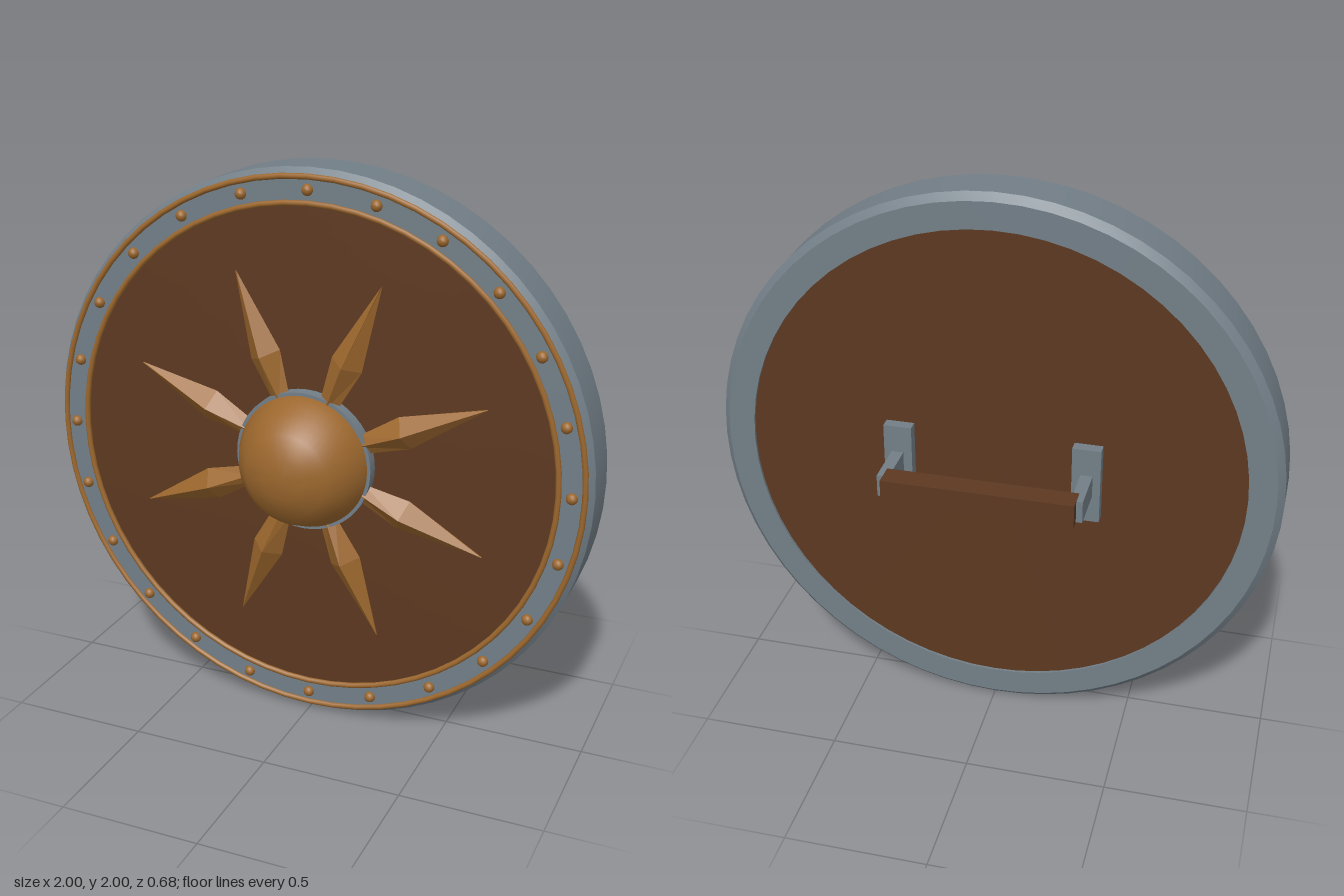
import * as THREE from 'three';
import { toCreasedNormals } from 'three/addons/utils/BufferGeometryUtils.js';

// Revolve a [radius, z] profile around the z axis, keeping hard edges.
function turned(profile, segments = 64, crease = 0.5) {
  const points = profile.map(([r, z]) => new THREE.Vector2(r, z));
  const g = new THREE.LatheGeometry(points, segments);
  g.rotateX(Math.PI / 2);
  return toCreasedNormals(g, crease);
}

// Ridged blade pointing along +y: sections of [y, half width, underside z, ridge z].
function rayGeometry(sections) {
  const rings = sections.map(([y, w, low, top]) => [[-w, y, low], [0, y, top], [w, y, low]]);
  const pos = [];
  for (let s = 0; s < rings.length - 1; s++) {
    for (let k = 0; k < 3; k++) {
      const n = (k + 1) % 3;
      const a0 = rings[s][k], b0 = rings[s][n], a1 = rings[s + 1][k], b1 = rings[s + 1][n];
      pos.push(...a0, ...b0, ...b1, ...a0, ...b1, ...a1);
    }
  }
  const g = new THREE.BufferGeometry();
  g.setAttribute('position', new THREE.Float32BufferAttribute(pos, 3));
  g.computeVertexNormals();
  return g;
}

export function createModel() {
  const steel = new THREE.MeshStandardMaterial({ name: 'steel', color: 0x727e87 });
  const wood = new THREE.MeshStandardMaterial({ name: 'wood', color: 0x5c3820 });
  const bronze = new THREE.MeshStandardMaterial({ name: 'bronze', color: 0x9c672d });

  const model = new THREE.Group();
  model.name = 'roundShield';
  const body = new THREE.Group();
  body.name = 'shieldBody';
  body.position.y = 1;
  model.add(body);

  const add = (name, geometry, material, x = 0, y = 0, z = 0) => {
    const mesh = new THREE.Mesh(geometry, material);
    mesh.name = name;
    mesh.position.set(x, y, z);
    body.add(mesh);
    return mesh;
  };

  // Slightly domed board inside a chamfered steel rim
  add('board', turned([[0, -0.095], [0.885, -0.095], [0.885, 0.095], [0, 0.12]]), wood);
  add('rim', turned([
    [0.88, -0.105], [0.975, -0.105], [1, -0.08], [1, 0.08],
    [0.975, 0.105], [0.88, 0.105], [0.88, -0.105],
  ]), steel);

  // Bronze trim rings and rivets on the rim
  for (const [name, r] of [['innerTrim', 0.885], ['outerTrim', 0.973]]) {
    add(name, new THREE.TorusGeometry(r, 0.01, 8, 64), bronze, 0, 0, 0.105);
  }
  const rivet = new THREE.SphereGeometry(0.02, 10, 8);
  for (let i = 0; i < 24; i++) {
    const a = (i / 24) * Math.PI * 2;
    add('rivet', rivet, bronze, 0.93 * Math.cos(a), 0.93 * Math.sin(a), 0.107);
  }

  // Central boss on its steel collar
  add('bossCollar', turned([[0.25, 0.09], [0.25, 0.155], [0.2, 0.155]], 48), steel);
  add('boss', turned([
    [0.24, 0.145], [0.235, 0.17], [0.2, 0.245], [0.147, 0.303], [0.072, 0.333], [0, 0.34],
  ], 48, 0.6), bronze);

  // Eight sun rays around the boss
  const ray = rayGeometry([
    [0.22, 0.032, 0.135, 0.155],
    [0.39, 0.058, 0.125, 0.18],
    [0.69, 0.001, 0.108, 0.112],
  ]);
  for (let i = 0; i < 8; i++) {
    add('sunRay', ray, bronze).rotation.z = Math.PI / 8 + (i * Math.PI) / 4;
  }

  // Rear handle: mounting plates, posts and wooden grip
  for (const side of [-1, 1]) {
    add('handlePlate', new THREE.BoxGeometry(0.1, 0.28, 0.045), steel, side * 0.333, 0, -0.1125);
    add('handlePost', new THREE.BoxGeometry(0.042, 0.08, 0.185), steel, side * 0.335, 0, -0.2125);
  }
  add('grip', new THREE.BoxGeometry(0.668, 0.085, 0.085), wood, 0, 0, -0.2975);

  return model;
}
